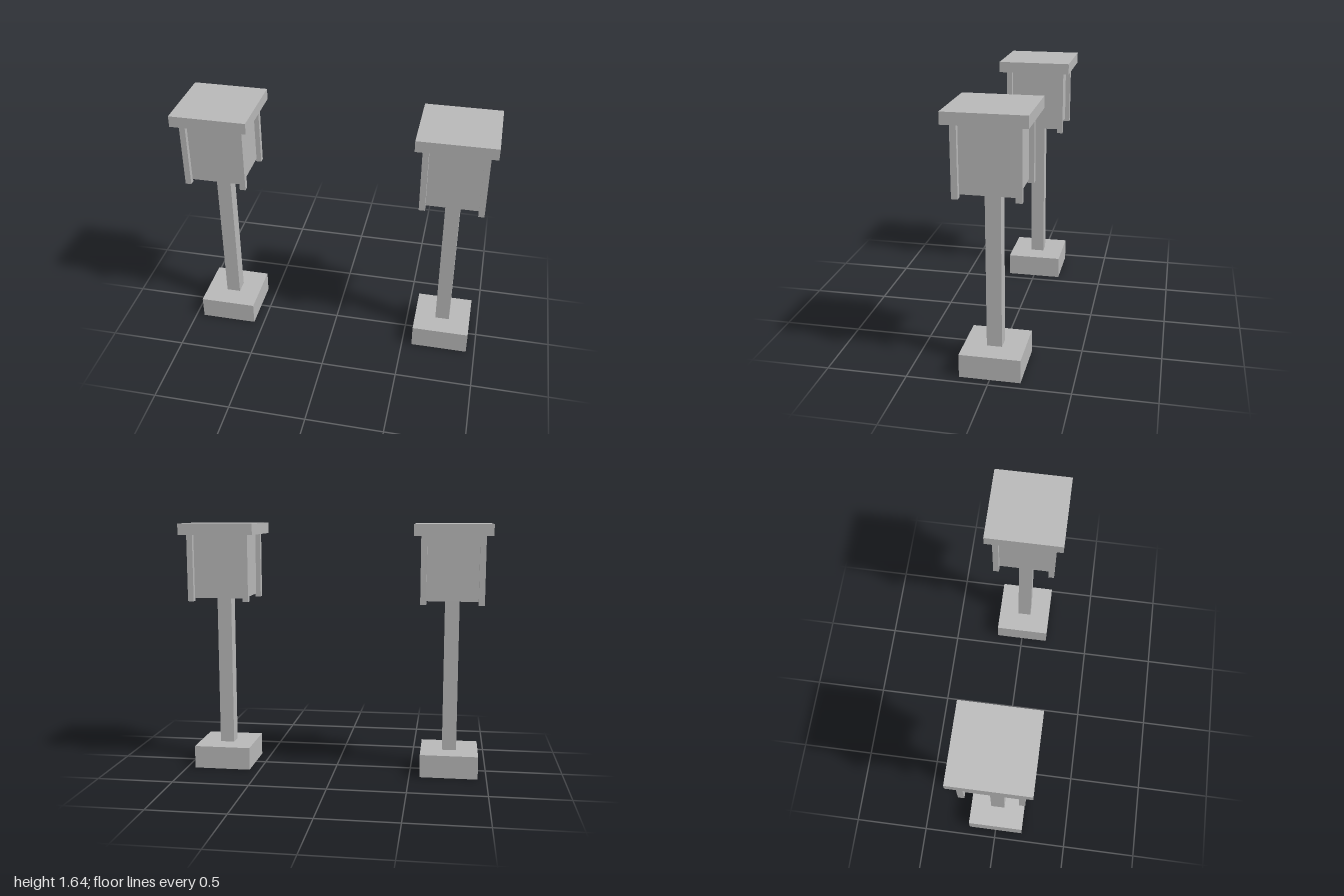
import * as THREE from 'three';

const stone = new THREE.MeshStandardMaterial({ color: 0xb8b8b8 });
stone.name = 'stone grey';

// Box from its footprint width and its bottom and top heights
function block(name, width, bottom, top, x = 0, z = 0) {
  const mesh = new THREE.Mesh(new THREE.BoxGeometry(width, top - bottom, width), stone);
  mesh.name = name;
  mesh.position.set(x, (bottom + top) / 2, z);
  return mesh;
}

function createLantern(name) {
  const lantern = new THREE.Group();
  lantern.name = name;
  lantern.add(
    block('base', 0.376, 0, 0.15),
    block('pole', 0.094, 0.15, 1.154),
    block('lampBox', 0.338, 1.154, 1.566),
    block('roof', 0.488, 1.566, 1.638)
  );
  // Corner posts hanging slightly below the lamp box
  for (const sx of [-1, 1]) {
    for (const sz of [-1, 1]) {
      lantern.add(block('cornerPost', 0.038, 1.134, 1.566, sx * 0.182, sz * 0.182));
    }
  }
  return lantern;
}

export function createModel() {
  const model = new THREE.Group();
  model.name = 'lanternPair';
  for (const side of [-1, 1]) {
    const lantern = createLantern(side > 0 ? 'leftLantern' : 'rightLantern');
    lantern.position.x = side * 0.756;
    model.add(lantern);
  }
  return model;
}
